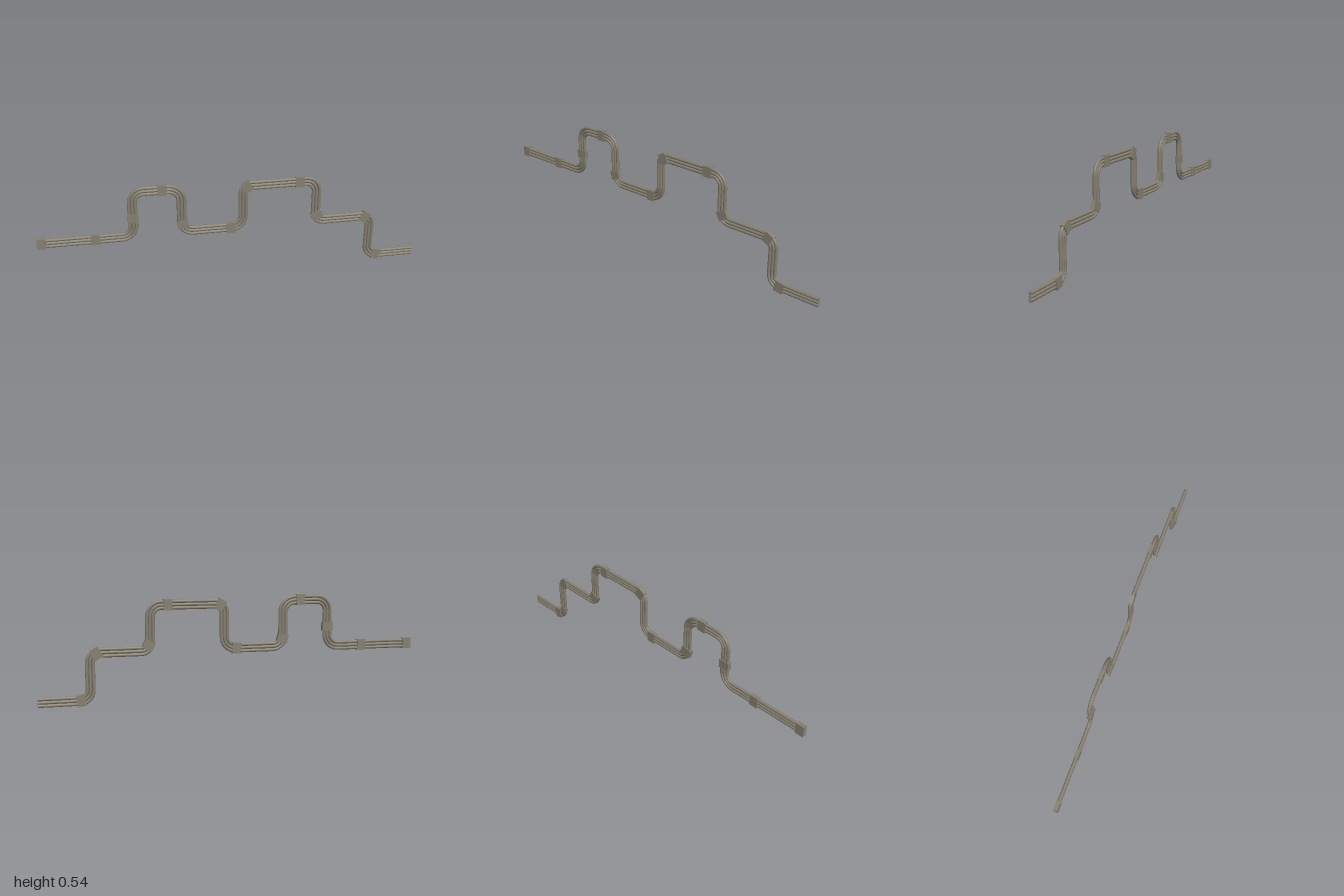
import * as THREE from 'three';

const PIPE_RADIUS = 0.0083;
const SPACING = 0.0166;
const SIDES = 12;

// Run of the bundle: corner x, y and bend radius
const corners = [
  [-0.995, 0.27, 0], [-0.513, 0.27, 0.06], [-0.513, 0.52, 0.06], [-0.265, 0.52, 0.065],
  [-0.265, 0.276, 0.055], [0.052, 0.276, 0.06], [0.052, 0.508, 0.045], [0.438, 0.508, 0.06],
  [0.438, 0.276, 0.045], [0.741, 0.276, 0.05], [0.741, 0.037, 0.05], [1, 0.037, 0],
];

// Clamps: x, y, turn in degrees
const clamps = [
  [-0.977, 0.27, 0], [-0.708, 0.27, 0], [-0.513, 0.375, 90], [-0.361, 0.52, 0],
  [-0.262, 0.318, -75], [-0.012, 0.275, 3], [0.073, 0.502, 30], [0.347, 0.508, 0],
  [0.446, 0.306, -64], [0.709, 0.271, -30], [0.788, 0.038, -12],
];

// Centre line samples with the in-plane normal, straight runs joined by arcs
function samplePath() {
  const out = [];
  const pts = corners.map(([x, y]) => new THREE.Vector2(x, y));
  const dir = (i) => pts[i + 1].clone().sub(pts[i]).normalize();
  const left = (d) => new THREE.Vector2(-d.y, d.x);
  const last = pts.length - 1;
  out.push({ p: pts[0], n: left(dir(0)) });
  for (let i = 1; i < last; i++) {
    const r = corners[i][2], a = dir(i - 1), b = dir(i);
    const turn = Math.sign(a.cross(b));
    const centre = pts[i].clone().addScaledVector(a, -r).addScaledVector(left(a), turn * r);
    for (let k = 0; k <= 10; k++) {
      const n = left(a).rotateAround(new THREE.Vector2(), turn * (k / 10) * Math.PI / 2);
      out.push({ p: centre.clone().addScaledVector(n, -turn * r), n });
    }
  }
  out.push({ p: pts[last], n: left(dir(last - 1)) });
  return out;
}

// Sweep one round pipe, shifted sideways from the centre line
function pipeGeometry(path, offset) {
  const pos = [], nor = [], idx = [];
  const ring = (s, flat) => {
    for (let j = 0; j <= SIDES; j++) {
      const t = (j / SIDES) * Math.PI * 2, c = Math.cos(t), z = Math.sin(t);
      const d = offset + PIPE_RADIUS * c;
      pos.push(s.p.x + s.n.x * d, s.p.y + s.n.y * d, PIPE_RADIUS * z);
      if (flat) nor.push(flat * s.n.y, -flat * s.n.x, 0);
      else nor.push(s.n.x * c, s.n.y * c, z);
    }
  };
  const row = SIDES + 1;
  path.forEach((s, i) => {
    ring(s, 0);
    if (i === 0) return;
    for (let j = 0; j < SIDES; j++) {
      const a = (i - 1) * row + j, b = a + row;
      idx.push(a, a + 1, b, b, a + 1, b + 1);
    }
  });
  // Flat end caps
  for (const [s, side] of [[path[0], -1], [path[path.length - 1], 1]]) {
    const base = pos.length / 3;
    ring(s, side);
    for (let j = 1; j < SIDES - 1; j++) {
      if (side > 0) idx.push(base, base + j, base + j + 1);
      else idx.push(base, base + j + 1, base + j);
    }
  }
  // Ring order runs normal -> z, so the outside is the mirrored winding
  const g = new THREE.BufferGeometry();
  g.setAttribute('position', new THREE.Float32BufferAttribute(pos, 3));
  g.setAttribute('normal', new THREE.Float32BufferAttribute(nor, 3));
  g.setIndex(idx);
  return g;
}

export function createModel() {
  const model = new THREE.Group();
  model.name = 'pipeRun';
  const metal = new THREE.MeshStandardMaterial({ color: 0x857f70, side: THREE.DoubleSide });
  metal.name = 'dull grey metal';

  // Three parallel pipes
  const path = samplePath();
  ['lowerPipe', 'middlePipe', 'upperPipe'].forEach((name, i) => {
    const mesh = new THREE.Mesh(pipeGeometry(path, (i - 1) * SPACING), metal);
    mesh.name = name;
    model.add(mesh);
  });

  // Block clamps around the bundle
  const clampGeometry = new THREE.BoxGeometry(0.046, 0.057, 0.022);
  clamps.forEach(([x, y, deg], i) => {
    const clamp = new THREE.Mesh(clampGeometry, metal);
    clamp.name = `clamp${i + 1}`;
    clamp.position.set(x, y, 0);
    clamp.rotation.z = THREE.MathUtils.degToRad(deg);
    model.add(clamp);
  });
  return model;
}
